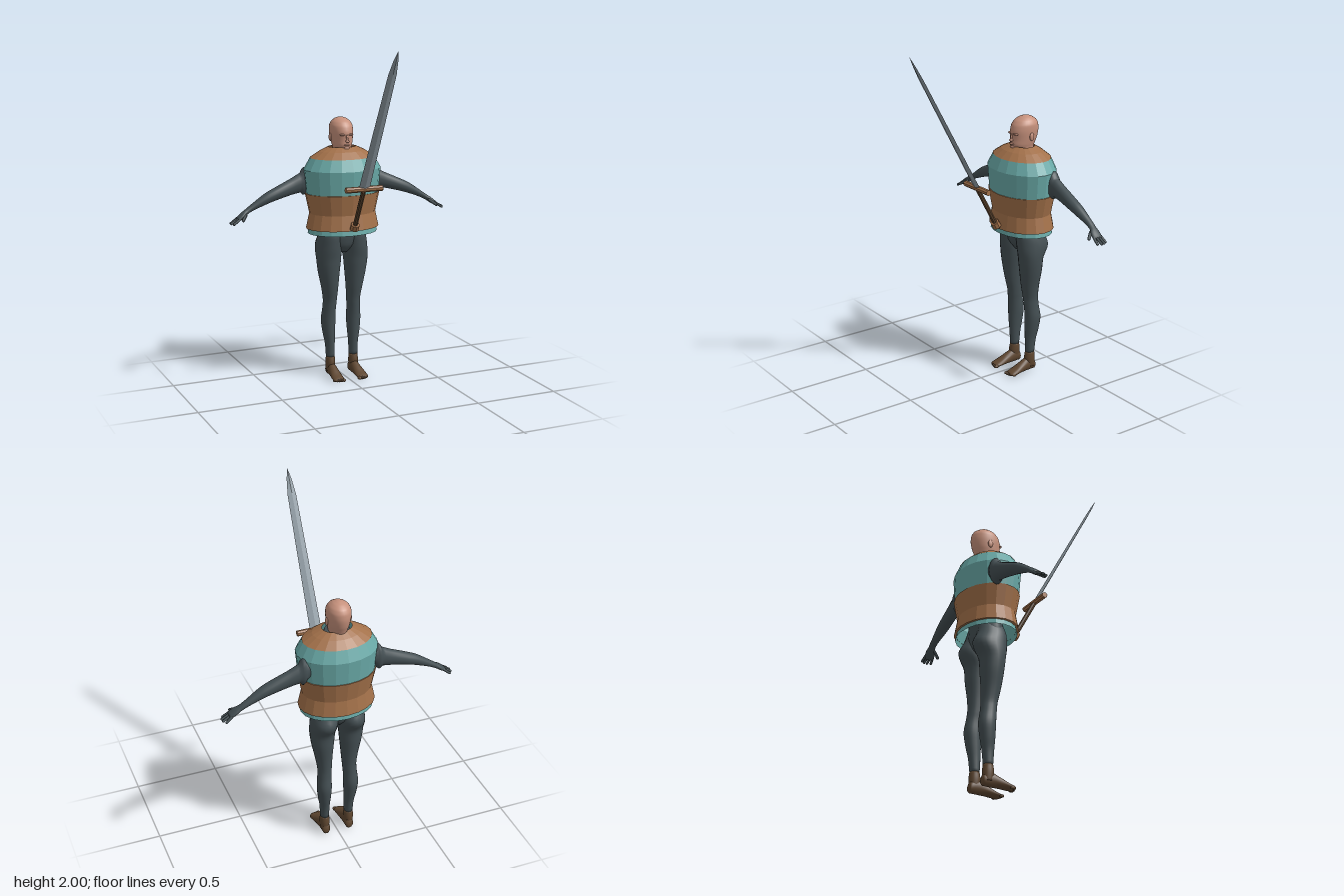
import * as THREE from 'three';

const V = (x, y, z) => new THREE.Vector3(x, y, z);
const X = V(1, 0, 0), Y = V(0, 1, 0), Z = V(0, 0, 1);

// Closed skin over elliptical rings [x, y, z, ru, rv]; u cross v points along the path
function loft(rings, u, v, sides = 20, steps = 4) {
  const mid = new THREE.CatmullRomCurve3(rings.map(r => V(r[0], r[1], r[2])));
  const rad = new THREE.CatmullRomCurve3(rings.map(r => V(r[3], r[4], 0)));
  const n = (rings.length - 1) * steps, pos = [], idx = [];
  for (let i = 0; i <= n; i++) {
    const c = mid.getPoint(i / n), r = rad.getPoint(i / n);
    for (let j = 0; j < sides; j++) {
      const a = j / sides * Math.PI * 2;
      const p = c.clone().addScaledVector(u, Math.cos(a) * r.x).addScaledVector(v, Math.sin(a) * r.y);
      pos.push(p.x, p.y, p.z);
      const k = (j + 1) % sides, b = i * sides;
      if (i < n) idx.push(b + j, b + k, b + sides + j, b + k, b + sides + k, b + sides + j);
    }
  }
  const lo = pos.length / 3, hi = lo + 1, top = n * sides;
  pos.push(...mid.getPoint(0).toArray(), ...mid.getPoint(1).toArray());
  for (let j = 0; j < sides; j++) {
    const k = (j + 1) % sides;
    idx.push(lo, k, j, hi, top + j, top + k);
  }
  const g = new THREE.BufferGeometry();
  g.setAttribute('position', new THREE.Float32BufferAttribute(pos, 3));
  g.setIndex(idx);
  g.computeVertexNormals();
  return g;
}

function mirrored(geo) {
  const g = geo.clone().scale(-1, 1, 1), a = g.index.array;
  for (let i = 0; i < a.length; i += 3) [a[i], a[i + 1]] = [a[i + 1], a[i]];
  g.computeVertexNormals();
  return g;
}

function flat(geo) {
  const g = geo.index ? geo.toNonIndexed() : geo;
  g.computeVertexNormals();
  return g;
}

function ball(x, y, z, rx, ry, rz) {
  return new THREE.SphereGeometry(1, 14, 10).scale(rx, ry, rz).translate(x, y, z);
}

function capsule(a, b, r) {
  const d = b.clone().sub(a), g = new THREE.CapsuleGeometry(r, d.length(), 4, 10);
  g.applyQuaternion(new THREE.Quaternion().setFromUnitVectors(Y, d.normalize()));
  return g.translate((a.x + b.x) / 2, (a.y + b.y) / 2, (a.z + b.z) / 2);
}

export function createModel() {
  const mat = (name, color, side = THREE.FrontSide) => {
    const m = new THREE.MeshStandardMaterial({ color, side });
    m.name = name;
    return m;
  };
  const teal = mat('teal cloth', 0x6aaaa8, THREE.DoubleSide);
  const leather = mat('brown leather', 0xa3714a, THREE.DoubleSide);
  const suit = mat('dark suit', 0x444f53);
  const skin = mat('skin', 0xc6917c);
  const boot = mat('dark brown', 0x5e4630);
  const steel = mat('steel', 0x8e9aa2);

  const model = new THREE.Group();
  const add = (name, geo, m, parent = model) => {
    const mesh = new THREE.Mesh(geo, m);
    mesh.name = name;
    parent.add(mesh);
    return mesh;
  };
  const pair = (name, geo, m) => {
    add(name + 'Left', geo, m);
    add(name + 'Right', mirrored(geo), m);
  };

  // Armour bands: faceted elliptical shells
  const band = (name, profile, m) => {
    const pts = profile.map(p => new THREE.Vector2(p[0], p[1]));
    add(name, flat(new THREE.LatheGeometry(pts, 20).scale(1, 1, 0.755).translate(0, 0, -0.29)), m);
  };
  band('vest', [[0.212, 0.89], [0.19, 1.0], [0.222, 1.13], [0.235, 1.27], [0.194, 1.34]], teal);
  band('belt', [[0.205, 0.92], [0.222, 0.92], [0.202, 1.01], [0.228, 1.13], [0.215, 1.13]], leather);
  band('collar', [[0.198, 1.338], [0.14, 1.375], [0.085, 1.4]], leather);

  // Body under the armour
  add('torso', loft([
    [0, 0.77, -0.29, 0.04, 0.02], [0, 0.82, -0.295, 0.075, 0.1], [0, 0.89, -0.295, 0.085, 0.135],
    [0, 1.0, -0.295, 0.08, 0.13], [0, 1.2, -0.295, 0.1, 0.16], [0, 1.3, -0.295, 0.085, 0.14],
    [0, 1.36, -0.293, 0.075, 0.08], [0, 1.385, -0.293, 0.07, 0.07],
  ], Z, X), suit);

  // Legs
  pair('leg', loft([
    [0.075, 0.12, -0.307, 0.028, 0.026], [0.076, 0.2, -0.31, 0.035, 0.029], [0.08, 0.27, -0.316, 0.044, 0.037],
    [0.082, 0.35, -0.32, 0.05, 0.043], [0.079, 0.42, -0.312, 0.047, 0.04], [0.076, 0.47, -0.307, 0.047, 0.041],
    [0.079, 0.55, -0.3, 0.056, 0.05], [0.085, 0.65, -0.298, 0.068, 0.065], [0.086, 0.73, -0.297, 0.075, 0.074],
    [0.082, 0.81, -0.311, 0.101, 0.076], [0.074, 0.88, -0.295, 0.087, 0.068], [0.06, 0.95, -0.295, 0.07, 0.055],
  ], Z, X), suit);

  // Feet with ankles and toes
  pair('ankle', loft([
    [0.075, 0.03, -0.308, 0.03, 0.026], [0.075, 0.08, -0.306, 0.034, 0.029], [0.075, 0.123, -0.307, 0.028, 0.0265],
  ], Z, X), boot);
  pair('foot', loft([
    [0.073, 0.026, -0.346, 0.01, 0.014], [0.073, 0.034, -0.335, 0.024, 0.032], [0.073, 0.042, -0.29, 0.027, 0.041],
    [0.075, 0.032, -0.24, 0.031, 0.031], [0.077, 0.02, -0.195, 0.035, 0.02], [0.077, 0.014, -0.162, 0.034, 0.013],
    [0.076, 0.012, -0.15, 0.026, 0.009],
  ], X, Y), boot);
  for (let i = 0; i < 5; i++) {
    pair('toe' + (i + 1), ball(0.051 + i * 0.0135, 0.011, -0.153 - i * i * 0.0012, i ? 0.0075 : 0.011, 0.01, 0.016), boot);
  }

  // Arms
  pair('arm', loft([
    [0.14, 1.225, -0.35, 0.045, 0.034], [0.2, 1.205, -0.352, 0.058, 0.037], [0.24, 1.19, -0.351, 0.058, 0.037],
    [0.3, 1.169, -0.349, 0.048, 0.035], [0.4, 1.134, -0.344, 0.038, 0.035], [0.46, 1.11, -0.343, 0.033, 0.031],
    [0.55, 1.062, -0.344, 0.02, 0.021], [0.58, 1.043, -0.342, 0.018, 0.021], [0.61, 1.022, -0.335, 0.018, 0.031],
    [0.64, 1.002, -0.332, 0.013, 0.03],
  ], Y, Z), suit);

  // Hands
  [[0.662, -0.358, -0.363], [0.675, -0.341, -0.344], [0.677, -0.324, -0.324], [0.667, -0.308, -0.303]].forEach(([x, z0, z1], i) => {
    pair('finger' + (i + 1), capsule(V(0.63, 1.008, z0), V(x, 0.983, z1), 0.0075), suit);
  });
  pair('thumb', capsule(V(0.59, 1.028, -0.318), V(0.618, 1.005, -0.283), 0.009), suit);

  // Head: [y, front z, back z, half width]
  const skull = [
    [1.34, -0.25, -0.355, 0.05], [1.375, -0.246, -0.36, 0.05], [1.392, -0.223, -0.366, 0.051],
    [1.41, -0.215, -0.373, 0.056], [1.44, -0.217, -0.385, 0.062], [1.485, -0.216, -0.394, 0.067],
    [1.52, -0.226, -0.391, 0.066], [1.545, -0.246, -0.377, 0.054], [1.562, -0.275, -0.35, 0.033], [1.57, -0.3, -0.325, 0.01],
  ];
  add('head', loft(skull.map(([y, f, b, w]) => [0, y, (f + b) / 2, (f - b) / 2, w]), Z, X, 28), skin);
  add('noseBridge', capsule(V(0, 1.468, -0.217), V(0, 1.443, -0.21), 0.006), skin);
  add('noseTip', ball(0, 1.437, -0.211, 0.012, 0.008, 0.011), skin);
  add('lips', ball(0, 1.414, -0.216, 0.019, 0.006, 0.007), skin);
  add('chin', ball(0, 1.394, -0.224, 0.019, 0.012, 0.012), skin);
  pair('brow', ball(0.024, 1.474, -0.225, 0.02, 0.006, 0.011), skin);
  pair('ear', ball(0.068, 1.455, -0.308, 0.008, 0.024, 0.015).rotateY(0), skin);

  // Sword leaning forward, origin at the guard
  const sword = new THREE.Group();
  sword.name = 'sword';
  sword.position.set(0, 1.194, 0.027);
  sword.rotation.x = 0.498;
  model.add(sword);
  add('blade', flat(loft([
    [0, 0, 0, 0.01, 0.034], [0, 0.4, 0, 0.009, 0.03], [0, 0.77, 0, 0.007, 0.025],
    [0, 0.86, 0, 0.005, 0.014], [0, 0.915, 0, 0.0005, 0.0005],
  ], Z, X, 4, 1)), steel, sword);
  add('guard', flat(new THREE.CylinderGeometry(0.017, 0.017, 0.226, 8).rotateZ(Math.PI / 2)), leather, sword);
  add('grip', flat(new THREE.CylinderGeometry(0.014, 0.014, 0.26, 8).translate(0, -0.135, 0)), boot, sword);
  add('pommel', flat(new THREE.CylinderGeometry(0.026, 0.026, 0.036, 8).translate(0, -0.278, 0)), leather, sword);

  return model;
}
